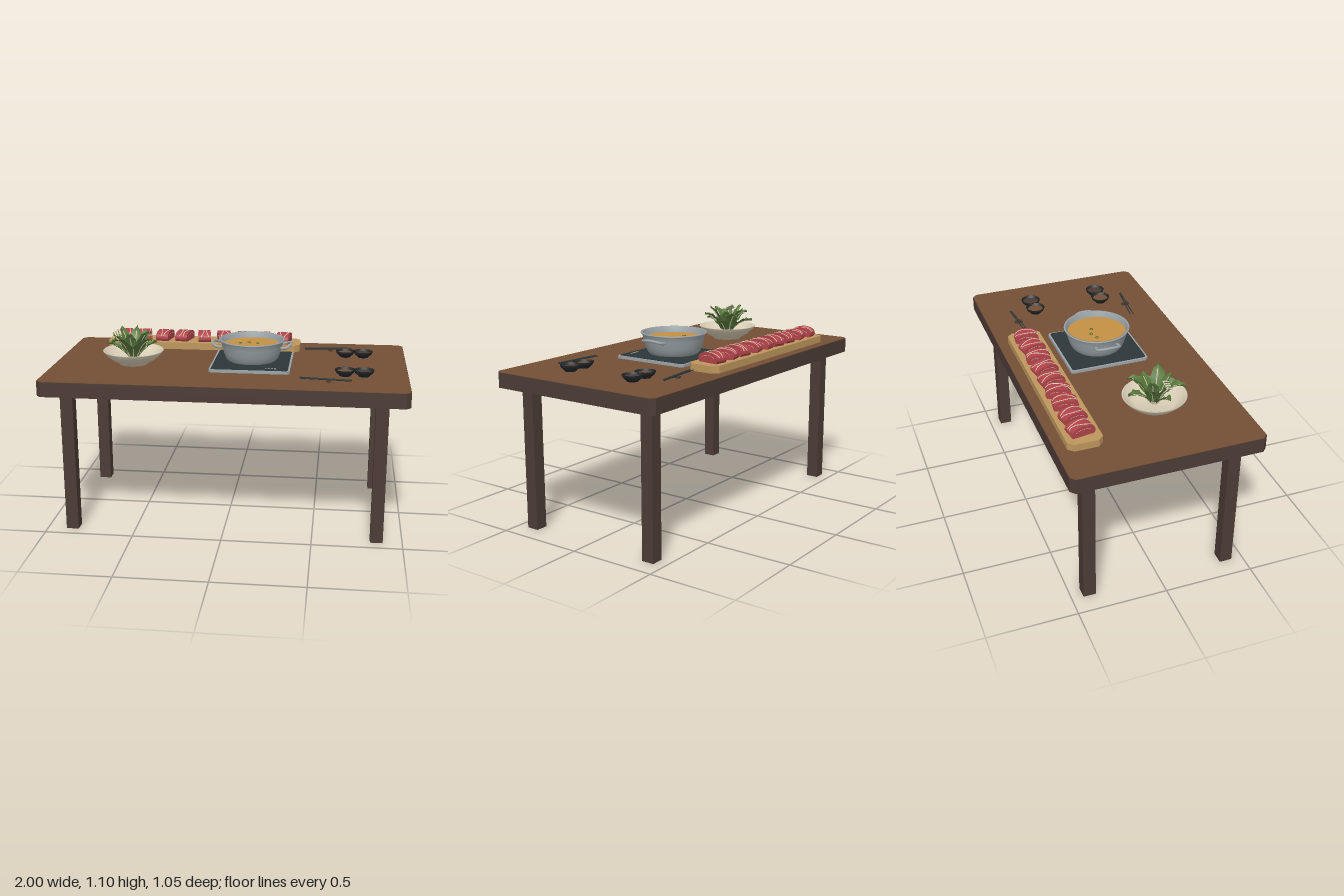
import * as THREE from 'three';

const mat = (name, color, side = THREE.FrontSide) => {
  const m = new THREE.MeshStandardMaterial({ color, side });
  m.name = name;
  return m;
};
const M = {
  top: mat('warm wood', 0x734f35),
  dark: mat('dark wood', 0x4c3b35),
  board: mat('light wood', 0xbd965c),
  meat: mat('red meat', 0xb04349),
  cream: mat('cream', 0xd9ceb6),
  steel: mat('steel', 0x9aa3a7),
  glass: mat('black glass', 0x2c3739),
  dish: mat('black ceramic', 0x23282b),
  broth: mat('broth', 0xc39044),
  leaf: mat('leaf green', 0x5a7a3d, THREE.DoubleSide),
};
const TABLE = 0.89;

function add(parent, name, geo, material, x = 0, y = 0, z = 0) {
  const mesh = new THREE.Mesh(geo, material);
  mesh.name = name;
  mesh.position.set(x, y, z);
  parent.add(mesh);
  return mesh;
}
function group(parent, name, x = 0, y = 0, z = 0) {
  const g = new THREE.Group();
  g.name = name;
  g.position.set(x, y, z);
  parent.add(g);
  return g;
}
const box = (w, h, d) => new THREE.BoxGeometry(w, h, d);
const lathe = (pts, n = 40) => new THREE.LatheGeometry(pts.map(p => new THREE.Vector2(...p)), n);
const tube = (pts, r, n = 16, sides = 6) => new THREE.TubeGeometry(
  new THREE.CatmullRomCurve3(pts.map(p => new THREE.Vector3(...p))), n, r, sides);

// Flat slab with cut corners, standing on y = 0
function slab(w, d, h, c) {
  const a = w / 2, b = d / 2;
  const s = new THREE.Shape([[-a + c, -b], [a - c, -b], [a, -b + c], [a, b - c], [a - c, b],
    [-a + c, b], [-a, b - c], [-a, -b + c]].map(p => new THREE.Vector2(...p)));
  return new THREE.ExtrudeGeometry(s, { depth: h, bevelEnabled: false }).rotateX(-Math.PI / 2);
}

function buildTable(root) {
  const g = group(root, 'table');
  add(g, 'tableSlab', slab(2, 1.05, 0.083, 0.025), M.dark, 0, 0.805, 0);
  add(g, 'tableSurface', slab(1.996, 1.046, 0.002, 0.025), M.top, 0, 0.888, 0);
  for (const x of [-1, 1]) for (const z of [-1, 1])
    add(g, 'tableLeg', box(0.07, 0.807, 0.07), M.dark, x * 0.858, 0.4035, z * 0.401);
}

// Domed cross-section of a meat slice: t runs 0..1 across its depth
const domeZ = (t, k = 1) => -Math.cos(t * Math.PI) * 0.068 * k;
const domeY = (t, k = 1) => 0.014 + Math.pow(Math.sin(t * Math.PI), 0.75) * 0.042 * k;

function buildMeat(root) {
  const g = group(root, 'meatBoard', -0.2025, TABLE, -0.37);
  add(g, 'servingBoard', slab(1.165, 0.19, 0.04, 0.03), M.board);
  const shape = new THREE.Shape();
  shape.moveTo(-0.06, 0);
  for (let i = 0; i <= 14; i++) shape.lineTo(domeZ(i / 14), domeY(i / 14));
  shape.lineTo(0.06, 0);
  const slice = new THREE.ExtrudeGeometry(shape, { depth: 0.076, bevelEnabled: false })
    .translate(0, 0, -0.038).rotateY(Math.PI / 2);
  const turns = [0.16, 0.2, -0.15, -0.22, 0.14, 0.2, -0.16, 0.18, -0.14];
  turns.forEach((turn, i) => {
    const s = group(g, 'meatSlice', -0.4875 + i * 0.1213, 0.04, -0.003);
    s.rotation.y = turn;
    add(s, 'meat', slice, M.meat);
    // fat bands wandering over the top
    for (const [x, w] of [[-0.012, 0.01], [0.02, -0.008]]) {
      const pts = [];
      for (let k = 0; k <= 8; k++) {
        const t = 0.1 + k * 0.1;
        pts.push([x + w * Math.sin(t * 7 + i), domeY(t) - 0.001, domeZ(t)]);
      }
      add(s, 'fatBand', tube(pts, 0.0032, 16, 5), M.cream);
    }
    // marbling on the cut faces
    for (const side of [-1, 1]) {
      const pts = [0.12, 0.3, 0.5, 0.7, 0.88].map(t => [side * 0.0375, domeY(t, 0.6), domeZ(t, 0.7)]);
      add(s, 'marbling', tube(pts, 0.0015, 12, 4), M.cream);
    }
  });
}

function buildCooker(root) {
  const g = group(root, 'cooker', 0.125, TABLE, 0.003);
  add(g, 'cookerBody', slab(0.45, 0.455, 0.016, 0.012), M.steel);
  add(g, 'cookerGlass', slab(0.428, 0.433, 0.004, 0.008), M.glass, 0, 0.0155, 0);
  for (let i = 0; i < 4; i++)
    add(g, 'controlMark', box(0.009, 0.002, 0.009), M.cream, 0.092 + i * 0.017, 0.02, 0.187);
}

function buildPot(root) {
  const g = group(root, 'pot', 0.122, 0.909, 0);
  add(g, 'potShell', lathe([[0, 0], [0.122, 0], [0.136, 0.004], [0.148, 0.016], [0.16, 0.045],
    [0.172, 0.085], [0.178, 0.115], [0.186, 0.118], [0.187, 0.124], [0.182, 0.126], [0.173, 0.124],
    [0.168, 0.09], [0.152, 0.045], [0.13, 0.012], [0, 0.01]], 48), M.steel);
  add(g, 'broth', new THREE.CylinderGeometry(0.168, 0.166, 0.006, 48), M.broth, 0, 0.089, 0);
  for (const [x, z] of [[-0.068, -0.022], [-0.02, -0.04], [0.03, -0.022]])
    add(g, 'scallion', new THREE.TorusGeometry(0.008, 0.003, 6, 12).rotateX(Math.PI / 2), M.leaf, x, 0.093, z);
  for (const s of [-1, 1])
    add(g, 'potHandle', tube([[0.168, 0.086, -0.062], [0.198, 0.09, -0.066], [0.219, 0.099, -0.04],
      [0.224, 0.102, 0], [0.219, 0.099, 0.04], [0.198, 0.09, 0.066], [0.168, 0.086, 0.062]]
      .map(([x, y, z]) => [s * x, y, z]), 0.008, 28, 8), M.steel);
}

// Arched leaf running out along +x, with a cream midrib
function addLeaf(parent, angle, reach, rise, droop, width) {
  const g = group(parent, 'leaf');
  g.rotation.y = angle;
  const spine = u => [0.025 + reach * Math.pow(u, 1.2), 0.035 + rise * Math.sin(u * droop) / Math.sin(Math.min(droop, Math.PI / 2))];
  const geo = new THREE.PlaneGeometry(1, 1, 10, 4);
  const p = geo.attributes.position;
  for (let i = 0; i < p.count; i++) {
    const u = p.getX(i) + 0.5, v = p.getY(i) * 2;
    const w = width * (0.15 + 0.85 * Math.sin(Math.PI * Math.pow(u, 0.85))) * (1 - 0.95 * Math.pow(u, 8));
    const [x, y] = spine(u);
    const ripple = 0.006 * Math.abs(v) * Math.sin(u * 22 + angle * 3);
    p.setXYZ(i, x, y + 0.012 * v * v + ripple, -v * w);
  }
  geo.computeVertexNormals();
  add(g, 'leafBlade', geo, M.leaf);
  add(g, 'leafMidrib', tube([0, 0.2, 0.4, 0.6, 0.8].map(u => [...spine(u), 0]), 0.003, 12, 5), M.cream);
}

function buildGreens(root) {
  const g = group(root, 'greensBowl', -0.55, TABLE, 0.083);
  add(g, 'bowl', lathe([[0, 0], [0.08, 0], [0.085, 0.008], [0.125, 0.03], [0.155, 0.056], [0.173, 0.078],
    [0.17, 0.081], [0.163, 0.078], [0.145, 0.056], [0.11, 0.034], [0, 0.024]]), M.cream);
  // outer drooping ring, then a more upright inner ring
  for (let i = 0; i < 8; i++)
    addLeaf(g, i * Math.PI / 4 + 0.2, 0.125 + 0.015 * (i % 3 - 1), 0.085 + 0.035 * (i % 2), 1.5 + 0.45 * ((i * 3) % 4) / 3, 0.04);
  for (let i = 0; i < 6; i++)
    addLeaf(g, i * Math.PI / 3 + 0.5, 0.07 + 0.02 * (i % 2), 0.135 + 0.012 * (i % 3), 1.4, 0.032);
  // pale stalks in the middle
  for (let i = 0; i < 6; i++) {
    const a = i * Math.PI / 3;
    const stalk = add(g, 'stalk', new THREE.CylinderGeometry(0.007, 0.011, 0.075, 7), M.cream,
      Math.cos(a) * 0.02, 0.062, Math.sin(a) * 0.02);
    stalk.rotation.set(Math.sin(a) * 0.3, 0, -Math.cos(a) * 0.3);
  }
  // one ribbed pale stalk slice resting on the leaves
  const slice = group(g, 'ribbedSlice', -0.085, 0.178, 0.035);
  slice.rotation.set(0.5, 0.4, 0.35);
  add(slice, 'sliceBody', box(0.05, 0.008, 0.045), M.cream);
  for (let i = -1; i <= 1; i++)
    add(slice, 'sliceRib', box(0.004, 0.01, 0.046), M.leaf, i * 0.014, 0, 0);
}

function buildSetting(root, s) {
  const g = group(root, 'placeSetting', 0, TABLE, 0);
  // pair of sauce dishes
  [[0.653, M.top], [0.757, M.dark]].forEach(([x, sauce]) => {
    const d = group(g, 'sauceDish', x, 0, s * 0.21);
    add(d, 'dish', lathe([[0, 0], [0.03, 0], [0.034, 0.006], [0.05, 0.02], [0.056, 0.035], [0.051, 0.036],
      [0.045, 0.022], [0.03, 0.012], [0, 0.01]], 28), M.dish);
    add(d, 'sauce', new THREE.CylinderGeometry(0.045, 0.043, 0.004, 28), sauce, 0, 0.022, 0);
  });
  // chopsticks on their rest
  add(g, 'chopstickRest', box(0.022, 0.01, 0.046), M.dark, 0.565, 0.005, s * 0.342);
  for (const k of [-1, 1]) {
    const stick = add(g, 'chopstick', new THREE.CylinderGeometry(0.0045, 0.003, 0.28, 6).rotateZ(-Math.PI / 2),
      M.glass, 0.55, 0.013, s * 0.342 + k * 0.006);
    stick.rotation.y = -s * 0.1 + k * 0.025;
  }
}

export function createModel() {
  const root = new THREE.Group();
  root.name = 'diningTable';
  buildTable(root);
  buildMeat(root);
  buildCooker(root);
  buildPot(root);
  buildGreens(root);
  for (const s of [-1, 1]) buildSetting(root, s);
  return root;
}
